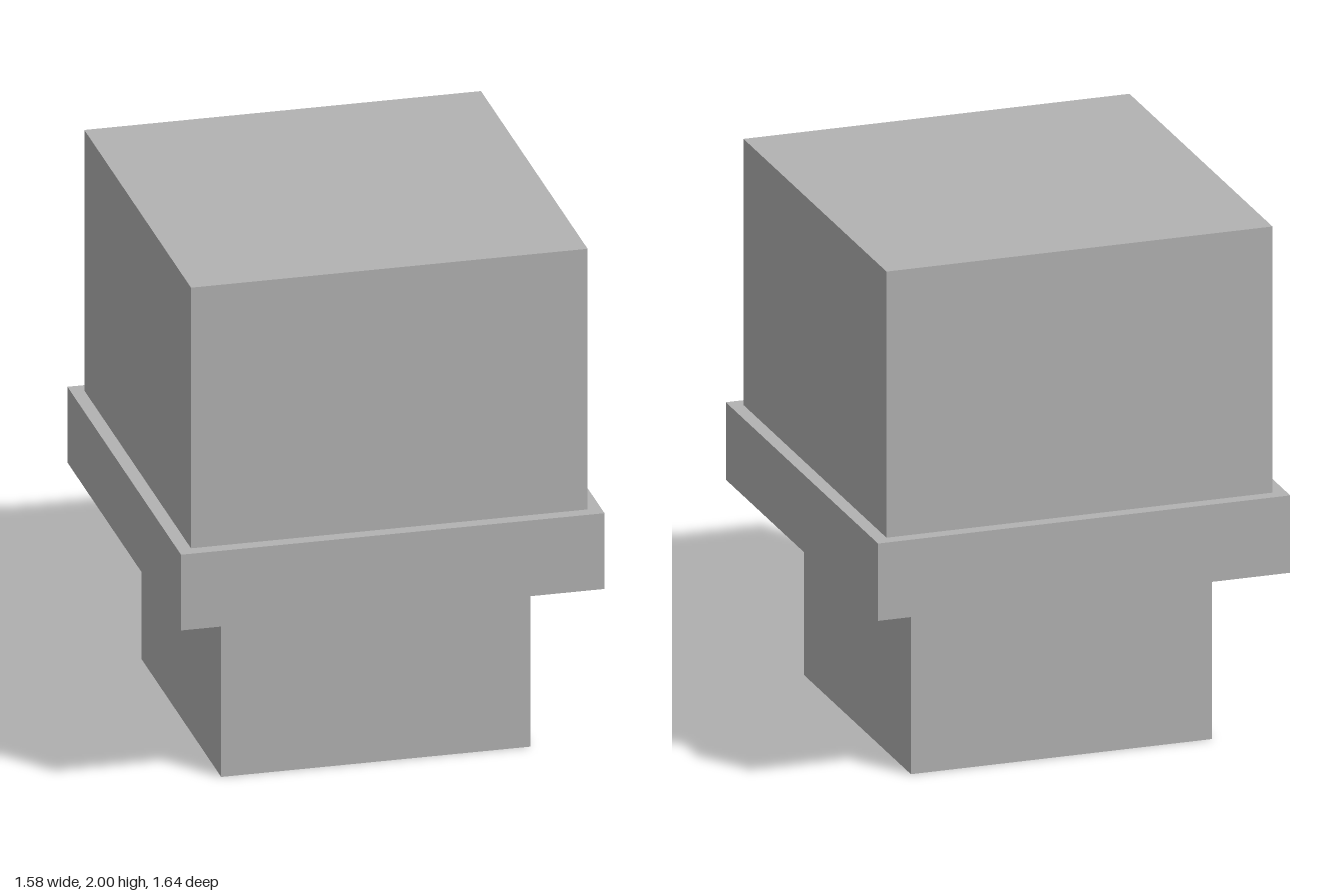
import * as THREE from 'three';

export function createModel() {
  const group = new THREE.Group();
  const grey = new THREE.MeshStandardMaterial({ color: 0xb2b2b2 });
  grey.name = 'plain grey';

  // Adds a centred block spanning bottom to top
  const addBlock = (name, width, depth, bottom, top) => {
    const mesh = new THREE.Mesh(new THREE.BoxGeometry(width, top - bottom, depth), grey);
    mesh.name = name;
    mesh.position.y = (bottom + top) / 2;
    group.add(mesh);
  };

  addBlock('base', 1.15, 1.15, 0, 0.69);
  addBlock('collar', 1.575, 1.64, 0.69, 0.985);
  addBlock('upperBlock', 1.475, 1.54, 0.985, 2);

  return group;
}
